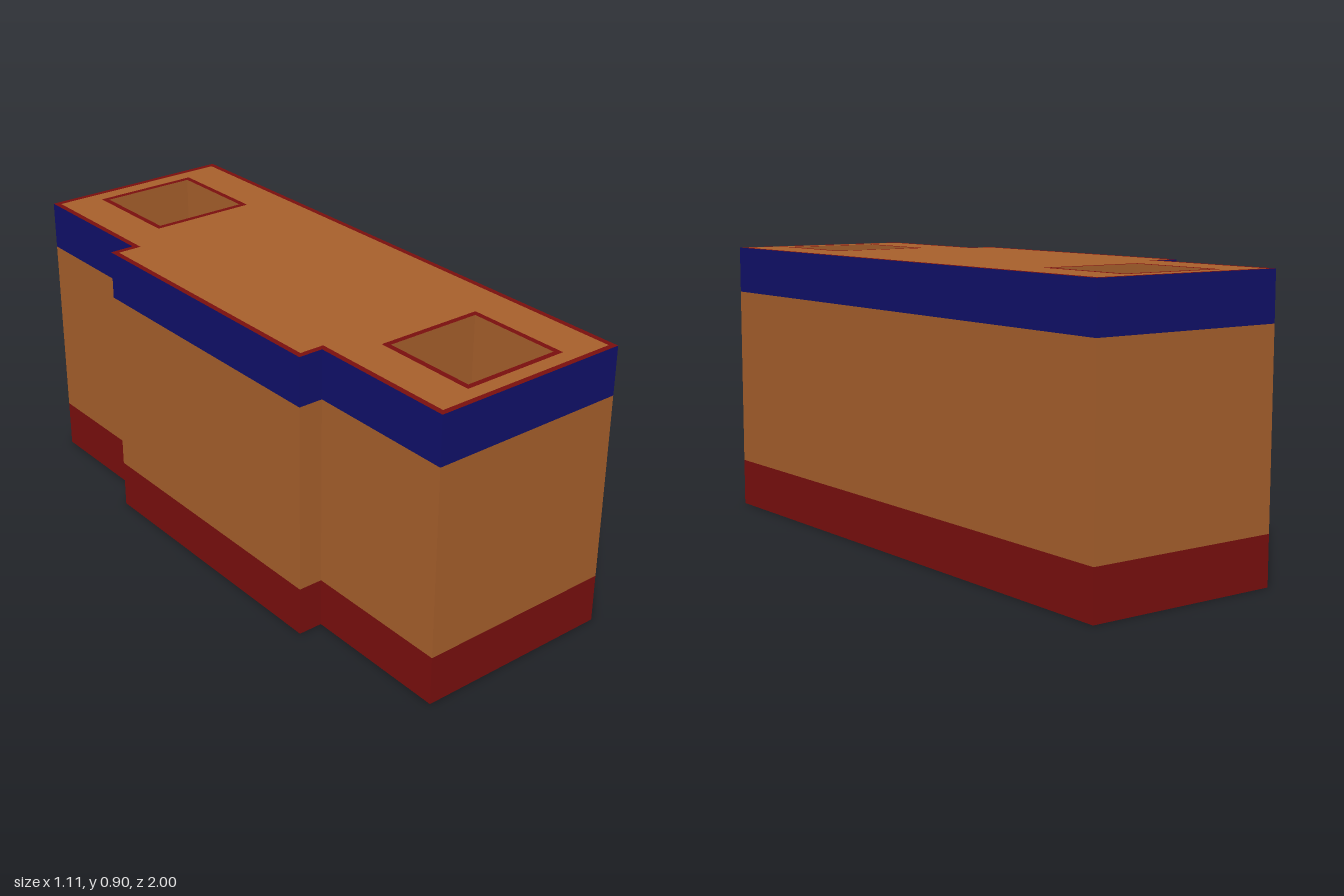
import * as THREE from 'three';

const BROWN = 0xa8602c, RED = 0x7a0f0e, NAVY = 0x10106a;
const HW = 0.322, HL = 0.949;          // half width and half length of the main block
const BAY_X = -0.40, BAY_Z = 0.47;     // side bay: outer face and half length
const TOP = 0.9, TRIM = 0.018, WELL_FLOOR = 0.5;

const material = (color) => new THREE.MeshStandardMaterial({ color, side: THREE.DoubleSide });

// Plan outline, shrunk inwards by d, as [x, z] pairs
const outline = (d) => [
  [-HW + d, -HL + d], [-HW + d, -BAY_Z + d], [BAY_X + d, -BAY_Z + d],
  [BAY_X + d, BAY_Z - d], [-HW + d, BAY_Z - d], [-HW + d, HL - d],
  [HW - d, HL - d], [HW - d, -HL + d],
];

// Square light well centred on z, shrunk by d
const well = (z, d) => {
  const a = 0.175 - d, b = 0.17 - d;
  return [[-a, z - b], [-a, z + b], [a, z + b], [a, z - b]];
};

export function createModel() {
  const model = new THREE.Group();
  const building = new THREE.Group();
  building.name = 'building';
  building.rotation.y = 0.26;
  model.add(building);

  // Flat upward-facing surface with optional holes
  const slab = (name, points, holes, y, color) => {
    const vecs = (pts) => pts.map(([x, z]) => new THREE.Vector2(x, -z));
    const shape = new THREE.Shape(vecs(points));
    shape.holes = holes.map((h) => new THREE.Path(vecs(h)));
    const mesh = new THREE.Mesh(new THREE.ShapeGeometry(shape).rotateX(-Math.PI / 2), material(color));
    mesh.position.y = y;
    mesh.name = name;
    building.add(mesh);
  };

  // One plane per side of a plan polygon, between two heights
  const walls = (name, points, y0, y1, color) => {
    const group = new THREE.Group();
    group.name = name;
    const mat = material(color);
    points.forEach(([x0, z0], i) => {
      const [x1, z1] = points[(i + 1) % points.length];
      const panel = new THREE.Mesh(
        new THREE.PlaneGeometry(Math.hypot(x1 - x0, z1 - z0), y1 - y0), mat);
      panel.position.set((x0 + x1) / 2, (y0 + y1) / 2, (z0 + z1) / 2);
      panel.rotation.y = Math.atan2(-(z1 - z0), x1 - x0);
      panel.name = name + 'Panel';
      group.add(panel);
    });
    building.add(group);
  };

  // Outer walls in three bands, open underneath
  walls('baseBand', outline(0), 0, 0.155, RED);
  walls('middleWall', outline(0), 0.155, 0.748, BROWN);
  walls('topBand', outline(0), 0.748, TOP, NAVY);

  // Underside of the side bay
  slab('bayUnderside',
    [[BAY_X, -BAY_Z], [BAY_X, BAY_Z], [-HW, BAY_Z], [-HW, -BAY_Z]], [], 0, RED);

  // Roof with its edge trim
  const wellZ = [-0.715, 0.715];
  slab('roof', outline(TRIM), wellZ.map((z) => well(z, 0)), TOP, BROWN);
  slab('roofTrim', outline(0), [outline(TRIM)], TOP, RED);

  // Light wells at both ends
  for (const z of wellZ) {
    slab('wellTrim', well(z, 0), [well(z, TRIM)], TOP, RED);
    walls('wellWall', well(z, TRIM), WELL_FLOOR, TOP, BROWN);
    slab('wellFloor', well(z, TRIM), [], WELL_FLOOR, BROWN);
  }

  return model;
}
